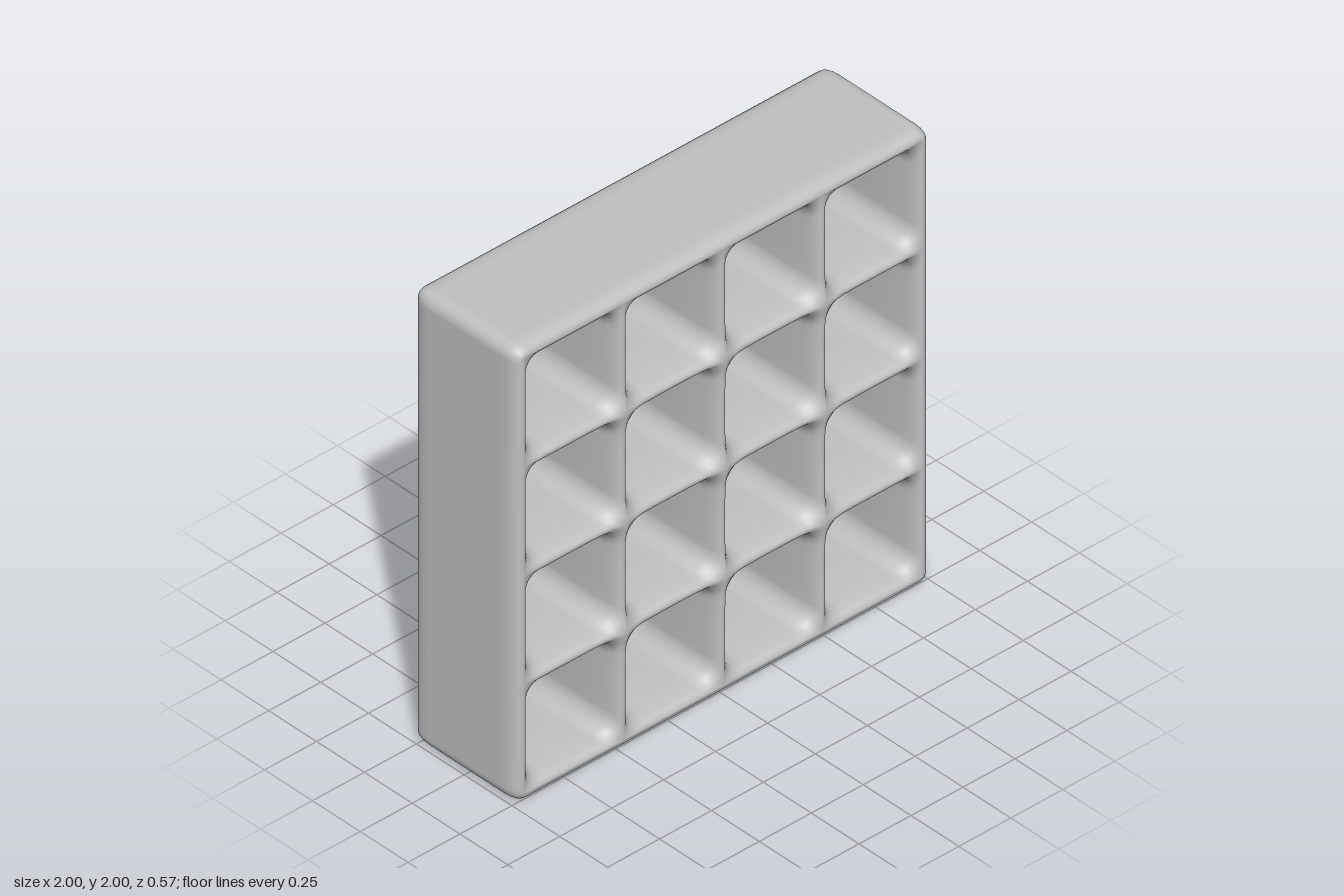
import * as THREE from 'three';
import { mergeGeometries, mergeVertices } from 'three/addons/utils/BufferGeometryUtils.js';

const PITCH = 0.48, COUNT = 4, HALF = PITCH * COUNT / 2, CENTRE_Y = 1;

// Points of a rounded square, counter-clockwise; steps run along one side from -1 to 1
function roundedSquare(half, radius, steps) {
  const inner = half - radius, points = [];
  for (let side = 0; side < 4; side++) {
    for (const t of steps.slice(0, -1)) {
      let u = half, v = t * half;
      const cu = Math.min(u, inner), cv = Math.max(-inner, Math.min(inner, v));
      const du = u - cu, dv = v - cv;
      if (Math.abs(dv) > 1e-9) {
        const len = Math.hypot(du, dv);
        u = cu + du / len * radius;
        v = cv + dv / len * radius;
      }
      points.push([[u, v], [-v, u], [-u, -v], [v, -u]][side]);
    }
  }
  return points;
}

// Skin a row of closed loops
function loft(loops) {
  const n = loops[0].length, index = [];
  for (let k = 0; k < loops.length - 1; k++) {
    for (let i = 0; i < n; i++) {
      const a = k * n + i, b = k * n + (i + 1) % n;
      index.push(a, b, a + n, b, b + n, a + n);
    }
  }
  const geometry = new THREE.BufferGeometry();
  geometry.setAttribute('position', new THREE.Float32BufferAttribute(loops.flat(2), 3));
  geometry.setIndex(index);
  return geometry;
}

// Bars swell slightly where they cross
function swell(x, y) {
  const nearest = (v) => {
    const line = Math.max(-1, Math.min(1, Math.round(v / PITCH))) * PITCH;
    return v - line;
  };
  const d = Math.hypot(nearest(x), nearest(y));
  return 0.016 * Math.exp(-((d / 0.065) ** 2));
}

function mirrorSteps(list) {
  return [...list.map((t) => -t), 0, ...list.slice().reverse()];
}

// One square opening: inset from the bar centre line, depth, corner radius
function cellGeometry(cx, cy) {
  const steps = mirrorSteps([1, 0.92, 0.84, 0.76, 0.68, 0.6, 0.3]);
  const front = [
    [0, 0.270, 0], [0.010, 0.267, 0.04], [0.018, 0.258, 0.065],
    [0.025, 0.240, 0.08], [0.032, 0.205, 0.085], [0.038, 0.13, 0.085], [0.04, 0.05, 0.085],
  ];
  const back = front.slice().reverse().map(([d, z, r]) => [d, -z, r]);
  return loft([...front, ...back].map(([d, z, r]) =>
    roundedSquare(PITCH / 2 - d, r, steps).map(([px, py]) => {
      const x = px + cx, y = py + cy;
      const bump = Math.abs(z) > 0.2 ? swell(x, y) : 0;
      return [x, y, z + Math.sign(z) * bump];
    })));
}

// Outer band with soft edges
function shellGeometry() {
  const steps = mirrorSteps([1, 0.99, 0.98, 0.97, 0.96, 0.95, 0.94, 0.5]);
  const front = [
    [1, 0.19, 0.055], [0.998, 0.225, 0.053], [0.991, 0.25, 0.046],
    [0.98, 0.264, 0.034], [0.97, 0.269, 0.02], [HALF, 0.270, 0],
  ];
  const back = front.slice().reverse().map(([h, z, r]) => [h, -z, r]);
  return loft([...back, ...front].map(([h, z, r]) =>
    roundedSquare(h, r, steps).map(([x, y]) => [x, y, z])));
}

export function createModel() {
  const grey = new THREE.MeshStandardMaterial({ color: 0xc0c0c0 });
  grey.name = 'light grey';
  const group = new THREE.Group();
  group.name = 'gridBlock';

  const cells = [];
  for (let row = 0; row < COUNT; row++) {
    for (let col = 0; col < COUNT; col++) {
      cells.push(cellGeometry((col - 1.5) * PITCH, (row - 1.5) * PITCH));
    }
  }
  const parts = { lattice: mergeGeometries(cells), outerFrame: shellGeometry() };
  for (const [name, raw] of Object.entries(parts)) {
    const geometry = mergeVertices(raw, 1e-4);
    geometry.computeVertexNormals();
    const mesh = new THREE.Mesh(geometry, grey);
    mesh.name = name;
    mesh.position.y = CENTRE_Y;
    group.add(mesh);
  }
  return group;
}
